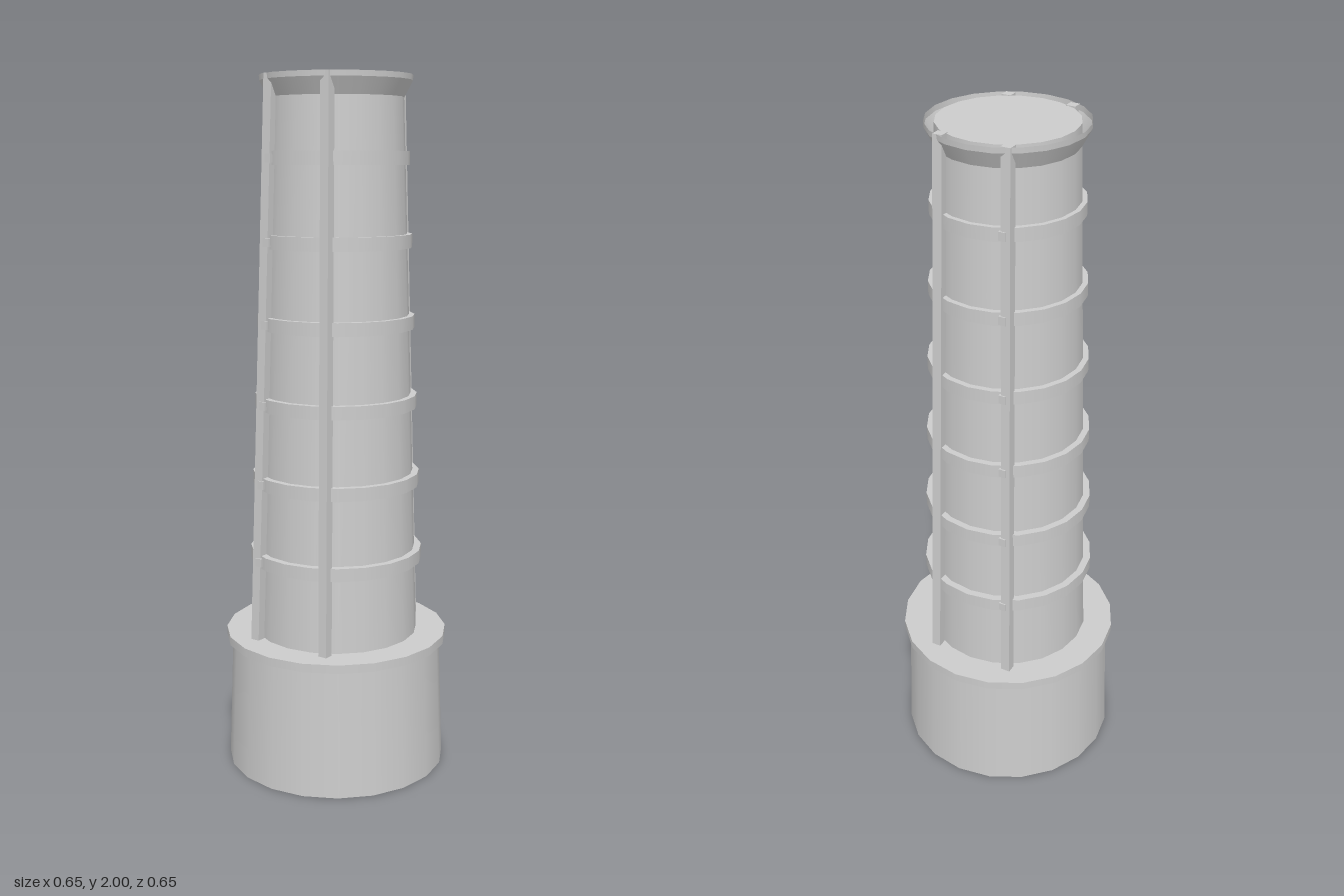
import * as THREE from 'three';

export function createModel() {
  const model = new THREE.Group();
  const grey = new THREE.MeshStandardMaterial({ color: 0xcccccc, side: THREE.DoubleSide });
  grey.name = 'light grey';

  const SIDES = 20;
  const add = (name, geometry, y) => {
    const mesh = new THREE.Mesh(geometry, grey);
    mesh.name = name;
    mesh.position.y = y;
    model.add(mesh);
    return mesh;
  };
  // tapered drum standing between two heights
  const drum = (name, rTop, rBottom, y0, y1, open = false) =>
    add(name, new THREE.CylinderGeometry(rTop, rBottom, y1 - y0, SIDES, 1, open), (y0 + y1) / 2);

  // hollow base with its flange
  drum('base', 0.309, 0.323, 0, 0.38, true);
  drum('flange', 0.327, 0.327, 0.375, 0.4);

  // tapering stack, closed at the top
  drum('stack', 0.187, 0.24, 0.39, 1.998);

  // thin flared collar around the mouth
  drum('collar', 0.213, 0.189, 1.94, 1.985, true);
  drum('collarRim', 0.214, 0.213, 1.985, 2, true);

  // square ribs leaning inwards from flange to mouth
  const Y0 = 0.395, Y1 = 2, SIZE = 0.027;
  const ribCentre = (y) => {
    const t = (y - 0.4) / 1.6;
    return [0.2265 - 0.0525 * t, 0.1205 - 0.026 * t];
  };
  for (const sx of [-1, 1]) {
    for (const sz of [-1, 1]) {
      const rib = new THREE.BoxGeometry(SIZE, Y1 - Y0, SIZE);
      rib.translate(0, (Y0 + Y1) / 2, 0);
      const p = rib.attributes.position;
      for (let i = 0; i < p.count; i++) {
        const [x, z] = ribCentre(p.getY(i));
        p.setX(i, p.getX(i) + sx * x);
        p.setZ(i, p.getZ(i) + sz * z);
      }
      rib.computeVertexNormals();
      add('rib', rib, 0);
    }
  }

  // hoops, with small clamps on the back ribs
  for (let i = 0; i < 6; i++) {
    const y = 0.635 + i * 0.228;
    const r = 0.252 - i * 0.009;
    drum('hoop', r, r, y - 0.019, y + 0.019);
    const [x, z] = ribCentre(y);
    for (const sx of [-1, 1]) {
      const clamp = add('clamp', new THREE.BoxGeometry(0.022, 0.024, 0.02), y);
      clamp.position.x = sx * (x + 0.006);
      clamp.position.z = -(z - 0.009);
    }
  }
  return model;
}
